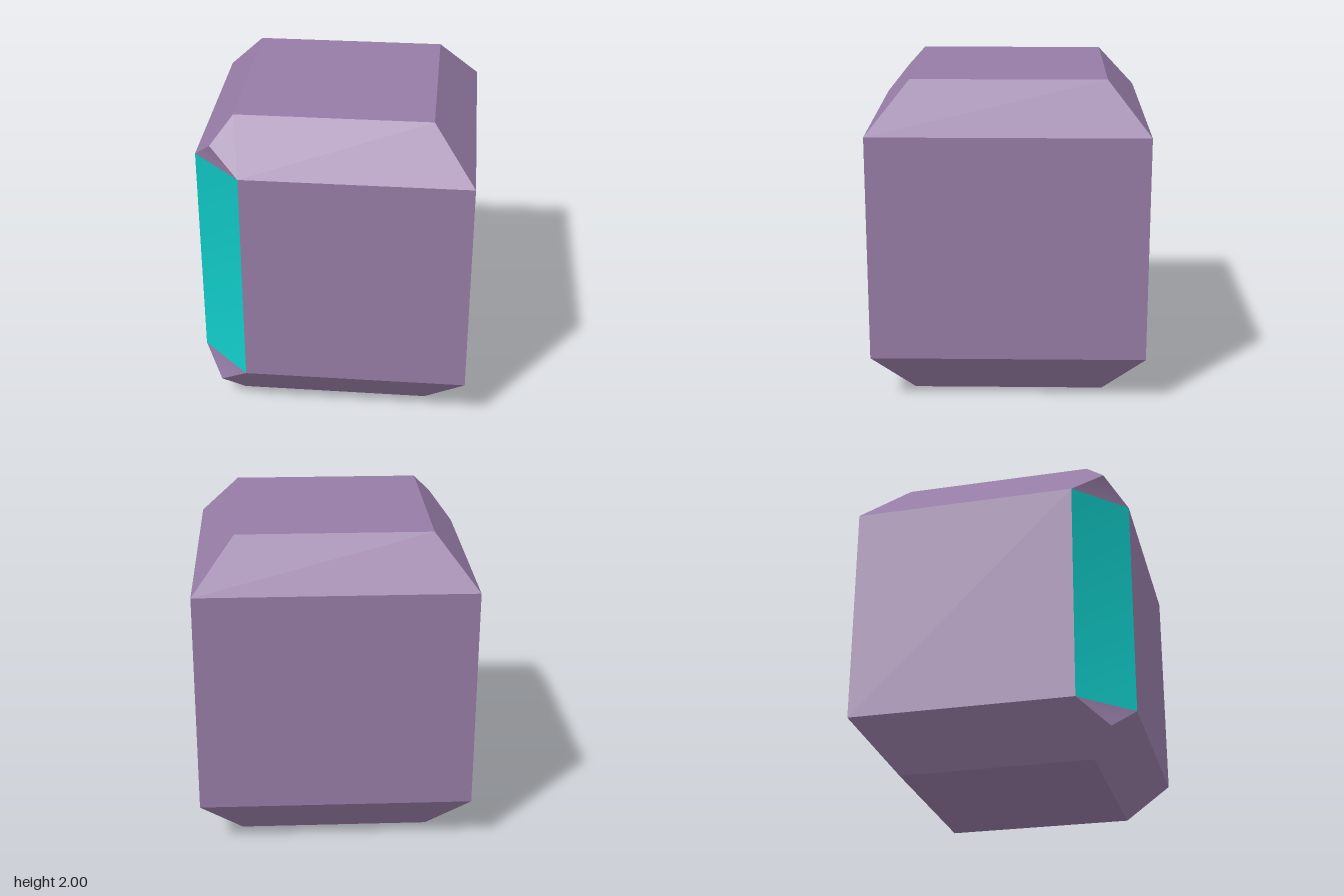
import * as THREE from 'three';
import { toCreasedNormals } from 'three/addons/utils/BufferGeometryUtils.js';

const W = 0.85;   // half width of the walls
const C = 0.595;  // half width of the flat top and bottom
const N = 0.54;   // where the corner cut meets the walls
const M = (W + C) / 2; // where the corner cut meets the sloped edge
const CENTER = new THREE.Vector3(0, 1, 0);

// Fans a convex loop into triangles that face away from the centre
function addFace(out, loop) {
  const pts = loop.map((p) => new THREE.Vector3(...p));
  for (let i = 1; i < pts.length - 1; i++) {
    const tri = new THREE.Triangle(pts[0], pts[i], pts[i + 1]);
    const outward = tri.getMidpoint(new THREE.Vector3()).sub(CENTER);
    const flip = tri.getNormal(new THREE.Vector3()).dot(outward) < 0;
    const order = flip ? [tri.a, tri.c, tri.b] : [tri.a, tri.b, tri.c];
    order.forEach((v) => out.push(v.x, v.y, v.z));
  }
}

// Cuts a run of vertices out of the shaded shell as its own mesh
function part(name, shell, start, end, color) {
  const geo = new THREE.BufferGeometry();
  for (const key of ['position', 'normal']) {
    const data = shell.getAttribute(key).array.slice(start * 3, end * 3);
    geo.setAttribute(key, new THREE.BufferAttribute(data, 3));
  }
  const mesh = new THREE.Mesh(geo, new THREE.MeshStandardMaterial({ color }));
  mesh.name = name;
  return mesh;
}

export function createModel() {
  const group = new THREE.Group();
  group.name = 'bevelledBlock';
  const verts = [];

  // Wall outline, with the front right corner cut off
  const outline = [[-N, W], [W, W], [W, -W], [-W, -W], [-W, N]];
  const wall = (a, b) => addFace(verts, [
    [a[0], 0.3, a[1]], [b[0], 0.3, b[1]], [b[0], 1.7, b[1]], [a[0], 1.7, a[1]],
  ]);
  for (let i = 0; i < 4; i++) wall(outline[i], outline[i + 1]);

  // Flat cap, four slopes and corner notch, mirrored top and bottom
  for (const s of [1, -1]) {
    const at = (x, h, z) => [x, 1 + s * h, z];
    const cap = [at(-C, 1, C), at(C, 1, C), at(C, 1, -C), at(-C, 1, -C)];
    const rim = outline.map(([x, z]) => at(x, 0.7, z));
    const tip = at(-M, 0.85, M);
    addFace(verts, cap);
    addFace(verts, [rim[0], rim[1], cap[1], cap[0], tip]);
    addFace(verts, [rim[1], rim[2], cap[2], cap[1]]);
    addFace(verts, [rim[2], rim[3], cap[3], cap[2]]);
    addFace(verts, [rim[3], rim[4], tip, cap[0], cap[3]]);
    addFace(verts, [rim[0], rim[4], tip]);
  }
  const split = verts.length / 3;

  // Coloured panel across the cut corner
  wall(outline[4], outline[0]);

  let shell = new THREE.BufferGeometry();
  shell.setAttribute('position', new THREE.Float32BufferAttribute(verts, 3));
  shell = toCreasedNormals(shell, 0.5);

  group.add(part('body', shell, 0, split, 0x967ca6));
  group.add(part('cornerPanel', shell, split, verts.length / 3, 0x10c8c5));
  return group;
}
